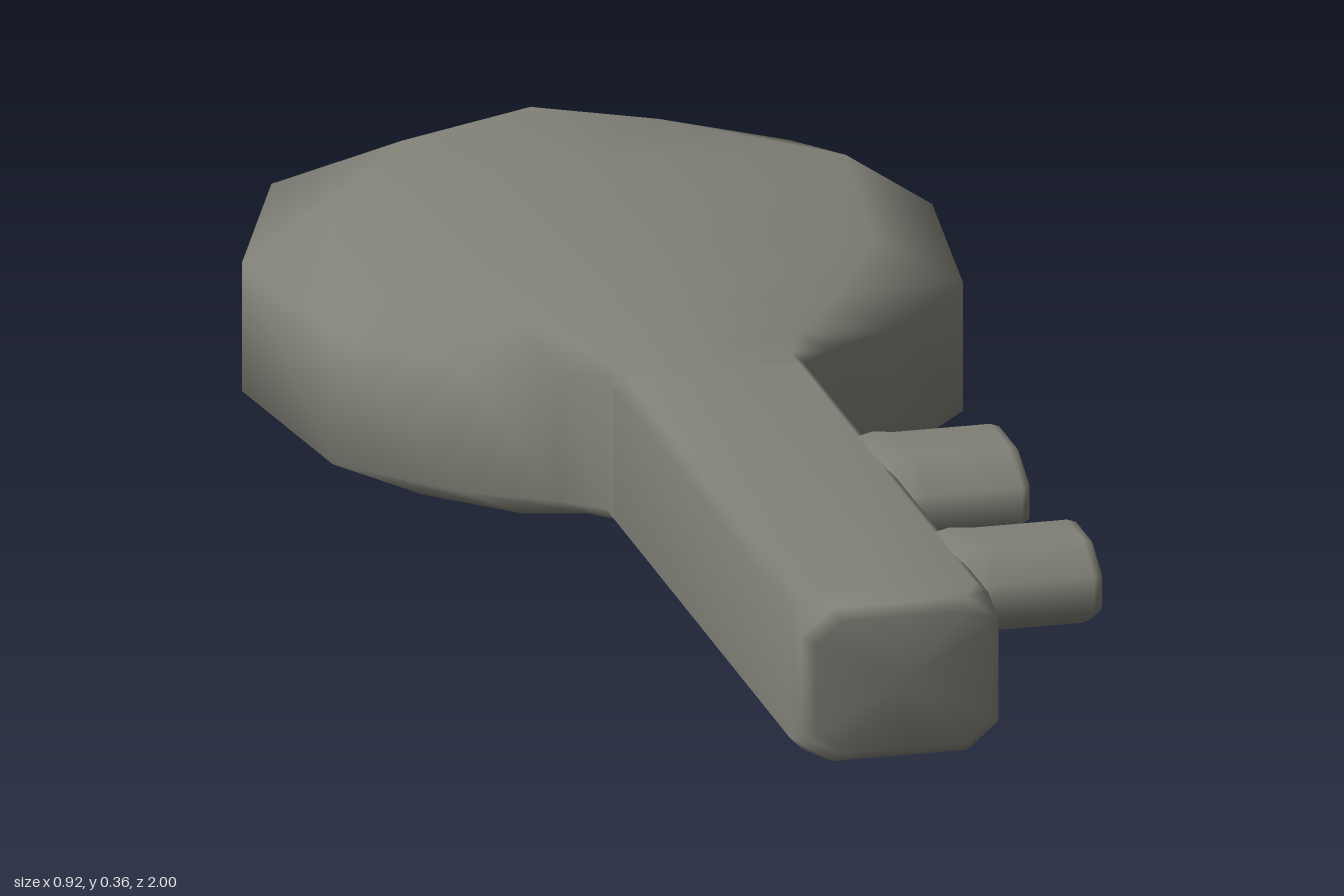
import * as THREE from 'three';
import { mergeVertices } from 'three/addons/utils/BufferGeometryUtils.js';

const material = new THREE.MeshStandardMaterial({ color: 0x838279 });
const MID = 0.179; // height of the key's middle plane

// Lofts mirrored ten-sided sections along z.
// Row: [z, half width, rim low, rim high, shoulder half width, shoulder half height, crown half height],
// with heights measured from the middle plane
function loft(rows) {
  const positions = [], index = [], n = 10;
  for (const [z, w, low, high, sw, sh, crown] of rows) {
    const section = [
      [w, low], [w, high], [sw, sh], [0, crown], [-sw, sh],
      [-w, high], [-w, low], [-sw, -sh], [0, -crown], [sw, -sh],
    ];
    for (const [x, y] of section) positions.push(x, MID + y, z);
  }
  for (let r = 0; r < rows.length - 1; r++) {
    for (let i = 0; i < n; i++) {
      const a = r * n + i, b = r * n + (i + 1) % n;
      index.push(a, b, b + n, a, b + n, a + n);
    }
  }
  let geometry = new THREE.BufferGeometry();
  geometry.setAttribute('position', new THREE.Float32BufferAttribute(positions, 3));
  geometry.setIndex(index);
  geometry = mergeVertices(geometry, 1e-4);
  geometry.computeVertexNormals();
  return geometry;
}

// Eight-sided oval peg pointing to +x, rooted in the shaft and bevelled at the tip
function makeTooth(z, halfLength) {
  const profile = [[0.9, -0.03], [1.04, 0.015], [1, 0.045], [1, 0.172], [0.94, 0.183], [0.82, 0.187], [0, 0.187]]
    .map(([r, y]) => new THREE.Vector2(r / Math.cos(Math.PI / 8), y));
  const geometry = new THREE.LatheGeometry(profile, 8, Math.PI / 8);
  geometry.rotateZ(-Math.PI / 2);
  geometry.scale(1, 0.057, halfLength);
  const tooth = new THREE.Mesh(geometry, material);
  tooth.position.set(0.12, 0.227, z);
  return tooth;
}

export function createModel() {
  const key = new THREE.Group();
  key.name = 'key';

  // Thick faceted bow, pointed at the back and narrowing to the neck
  const bow = new THREE.Mesh(loft([
    [-1.00, 0.00, -0.098, 0.078, 0.00, 0.088, 0.088],
    [-0.90, 0.345, -0.098, 0.078, 0.17, 0.122, 0.153],
    [-0.61, 0.46, -0.098, 0.077, 0.345, 0.154, 0.178],
    [-0.30, 0.42, -0.098, 0.077, 0.30, 0.150, 0.166],
    [-0.14, 0.29, -0.094, 0.080, 0.21, 0.130, 0.137],
    [-0.06, 0.18, -0.090, 0.084, 0.14, 0.110, 0.115],
    [-0.01, 0.132, -0.087, 0.089, 0.115, 0.104, 0.104],
    [0.03, 0.132, -0.087, 0.089, 0.115, 0.104, 0.104],
  ]), material);
  bow.name = 'bow';

  // Square shaft with bevelled edges and cut corners at the tip
  const shaft = new THREE.Mesh(loft([
    [0.03, 0.132, -0.087, 0.089, 0.115, 0.104, 0.104],
    [0.93, 0.132, -0.087, 0.089, 0.115, 0.104, 0.104],
    [0.985, 0.132, -0.068, 0.070, 0.090, 0.104, 0.104],
    [1.00, 0.116, -0.060, 0.062, 0.080, 0.090, 0.091],
    [1.00, 0, 0, 0, 0, 0, 0],
  ]), material);
  shaft.name = 'shaft';

  key.add(bow, shaft);

  // Two teeth on the left side
  [[0.378, 0.115], [0.763, 0.097]].forEach(([z, halfLength], i) => {
    const tooth = makeTooth(z, halfLength);
    tooth.name = i === 0 ? 'innerTooth' : 'outerTooth';
    key.add(tooth);
  });
  return key;
}
